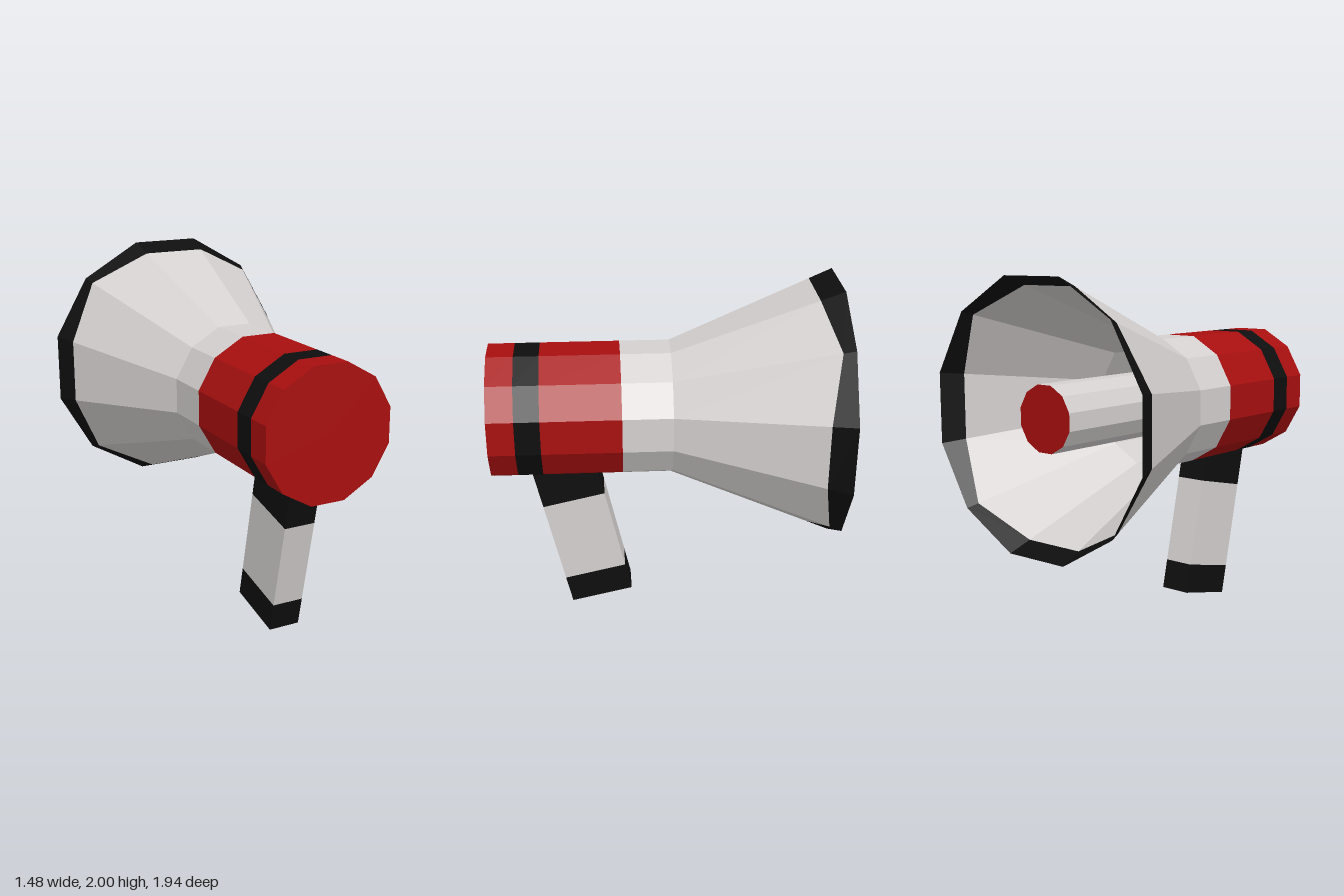
import * as THREE from 'three';

const SIDES = 12, AXIS_Y = 1.262;
const FLAT = Math.cos(Math.PI / SIDES); // flat-to-corner ratio of the polygon
const BODY_R = 0.369, RIM_R = 0.738;    // measured to the flats

function material(name, color, side = THREE.FrontSide) {
  const m = new THREE.MeshStandardMaterial({ color, side, flatShading: true });
  m.name = name;
  return m;
}

// Radius of the bell at a given depth: straight body, then a flare
const NECK_Z = -0.045, RIM_Z = -0.97;
const shellRadius = z =>
  z >= NECK_Z ? BODY_R : BODY_R + (RIM_R - BODY_R) * (NECK_Z - z) / (NECK_Z - RIM_Z);

// Faceted band between two edges; each edge gives a z for each corner
function bandGeometry(frontZ, backZ, radius) {
  const point = (i, edge) => {
    const a = (i + 0.5) * Math.PI * 2 / SIDES;
    const z = typeof edge === 'function' ? edge(i % SIDES) : edge;
    const r = radius(z) / FLAT;
    return [r * Math.cos(a), r * Math.sin(a), z];
  };
  const pos = [];
  for (let i = 0; i < SIDES; i++) {
    const a = point(i, frontZ), b = point(i, backZ);
    const c = point(i + 1, backZ), d = point(i + 1, frontZ);
    pos.push(...a, ...b, ...c, ...a, ...c, ...d);
  }
  const g = new THREE.BufferGeometry();
  g.setAttribute('position', new THREE.Float32BufferAttribute(pos, 3));
  g.computeVertexNormals();
  return g;
}

export function createModel() {
  const red = material('red', 0xa80f0f);
  const grey = material('light grey', 0xd4d0cf, THREE.DoubleSide);
  const black = material('black', 0x0e0e0e, THREE.DoubleSide);

  const model = new THREE.Group();
  model.name = 'megaphone';
  const add = (parent, name, geometry, mat) => {
    const mesh = new THREE.Mesh(geometry, mat);
    mesh.name = name;
    parent.add(mesh);
    return mesh;
  };

  // Everything that lies along the horn axis
  const horn = new THREE.Group();
  horn.name = 'horn';
  horn.position.y = AXIS_Y;
  model.add(horn);

  // The rim paint runs further back except at the four diagonal corners
  const paintEdge = i => (i % 3 === 1 ? -0.905 : -0.84);
  const bands = [
    ['bodyEnd', 0.97, 0.82, red],
    ['bodyStripe', 0.82, 0.68, black],
    ['bodyFront', 0.68, 0.235, red],
    ['neck', 0.235, NECK_Z, grey],
    ['bell', NECK_Z, paintEdge, grey],
    ['bellRim', paintEdge, RIM_Z, black],
  ];
  for (const [name, front, back, mat] of bands) {
    add(horn, name, bandGeometry(front, back, shellRadius), mat);
  }

  // Flat polygon ends
  const disc = (name, r, z, facing, mat) => {
    const g = new THREE.CircleGeometry(r / FLAT, SIDES, Math.PI / SIDES);
    if (facing < 0) g.rotateY(Math.PI);
    add(horn, name, g, mat).position.z = z;
  };
  disc('endCap', BODY_R, 0.97, 1, red);
  disc('throatWall', BODY_R, 0.235, -1, grey);

  // Inner tube inside the bell
  const TUBE_R = 0.179, TUBE_Z = -0.89;
  add(horn, 'innerTube', bandGeometry(0.235, TUBE_Z, () => TUBE_R), grey);
  disc('innerTubeCap', TUBE_R, TUBE_Z, -1, red);

  // Tilted handle, stacked from the bottom up
  const handle = new THREE.Group();
  handle.name = 'handle';
  handle.position.set(0, 0.04, 0.37);
  handle.rotation.x = 0.222;
  model.add(handle);
  const sections = [
    ['handleFoot', 0, 0.172, black],
    ['handleGrip', 0.172, 0.687, grey],
    ['handleCollar', 0.687, 1.0, black],
  ];
  for (const [name, y0, y1, mat] of sections) {
    add(handle, name, new THREE.BoxGeometry(0.185, y1 - y0, 0.369), mat).position.y = (y0 + y1) / 2;
  }

  return model;
}
